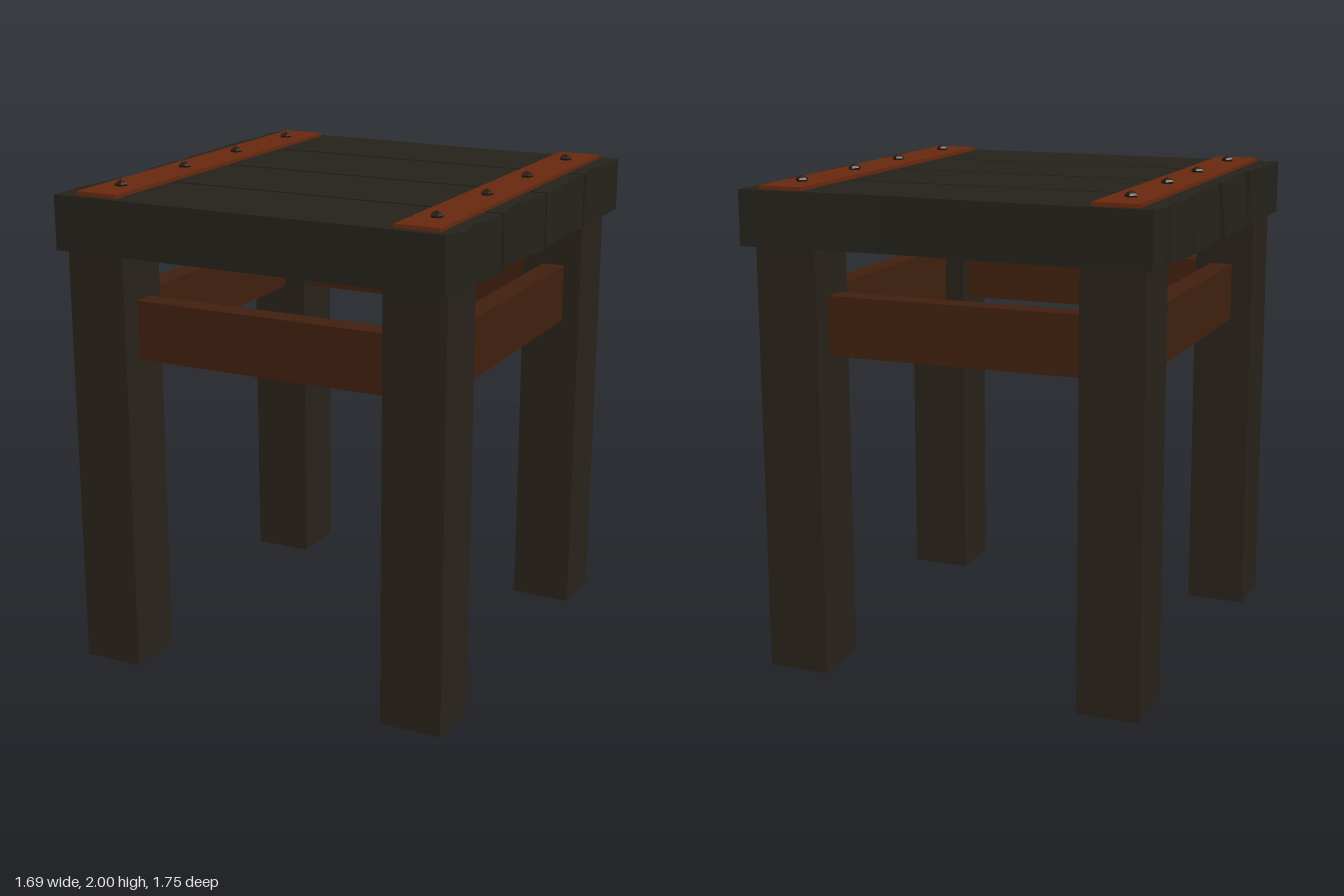
import * as THREE from 'three';

const mat = (color) => new THREE.MeshStandardMaterial({ color, flatShading: true });

export function createModel() {
  const model = new THREE.Group();
  const plankMat = mat(0x24221a);
  const legMat = mat(0x28231a);
  const railMat = mat(0x40200f);
  const strapMat = mat(0x68280f);
  const boltMat = mat(0x2a180e);

  const add = (name, geometry, material) => {
    const mesh = new THREE.Mesh(geometry, material);
    mesh.name = name;
    model.add(mesh);
    return mesh;
  };
  // box given by its limits on each axis
  const block = (name, [x0, x1], [y0, y1], [z0, z1], material) =>
    add(name, new THREE.BoxGeometry(x1 - x0, y1 - y0, z1 - z0), material)
      .position.set((x0 + x1) / 2, (y0 + y1) / 2, (z0 + z1) / 2);

  // seat planks with rough-sawn ends: outline as [x, z], plus how far the top left edge is worn in
  const planks = [
    { worn: 0, outline: [[-0.82, -0.88], [-0.845, -0.8], [-0.82, -0.67], [-0.845, -0.57], [-0.845, -0.46],
      [0.845, -0.46], [0.82, -0.57], [0.845, -0.74], [0.845, -0.88], [0.28, -0.855], [-0.28, -0.88]] },
    { worn: 0.012, outline: [[-0.845, -0.44], [-0.84, -0.33], [-0.845, -0.12], [-0.83, -0.015],
      [0.845, -0.015], [0.845, -0.22], [0.825, -0.32], [0.845, -0.44]] },
    { worn: 0.018, outline: [[-0.845, 0.005], [-0.845, 0.2], [-0.828, 0.31], [-0.828, 0.43],
      [0.845, 0.43], [0.825, 0.32], [0.82, 0.2], [0.845, 0.04], [0.845, 0.005]] },
    { worn: 0, outline: [[-0.825, 0.45], [-0.825, 0.56], [-0.845, 0.66], [-0.845, 0.872],
      [0.805, 0.872], [0.845, 0.77], [0.82, 0.66], [0.845, 0.56], [0.845, 0.45]] },
  ];
  for (const { worn, outline } of planks) {
    const shape = new THREE.Shape(outline.map(([x, z]) => new THREE.Vector2(x, -z)));
    const geometry = new THREE.ExtrudeGeometry(shape, { depth: 0.22, bevelEnabled: false });
    geometry.rotateX(-Math.PI / 2).translate(0, 1.74, 0);
    const p = geometry.attributes.position;
    for (let i = 0; i < p.count; i++) {
      if (p.getX(i) < -0.8 && p.getY(i) > 1.9) p.setX(i, p.getX(i) + worn);
    }
    geometry.computeVertexNormals();
    add('seatPlank', geometry, plankMat);
  }

  // legs, the back one on the right side standing a little further in
  const legY = [0, 1.75];
  block('frontLeg', [-0.815, -0.565], legY, [0.58, 0.835], legMat);
  block('frontLeg', [0.545, 0.8], legY, [0.58, 0.835], legMat);
  block('backLeg', [-0.785, -0.53], legY, [-0.835, -0.575], legMat);
  block('backLeg', [0.545, 0.8], legY, [-0.835, -0.575], legMat);

  // rails between the legs
  const railY = [1.3, 1.54];
  block('frontRail', [-0.62, 0.6], railY, [0.65, 0.745], railMat);
  block('backRail', [-0.6, 0.6], railY, [-0.735, -0.64], railMat);
  block('sideRail', [0.63, 0.725], railY, [-0.62, 0.62], railMat);
  block('sideRail', [-0.725, -0.63], railY, [-0.62, 0.62], railMat);

  // straps across the planks, each held by four five-sided bolts
  const boltProfile = [[0.018, 1.965], [0.027, 1.982], [0.02, 1.99], [0, 2]]
    .map(([r, y]) => new THREE.Vector2(r, y));
  for (const x of [-0.67, 0.68]) {
    block('strap', [x - 0.09, x + 0.09], [1.915, 1.975], [-0.85, 0.84], strapMat);
    for (const z of [-0.67, -0.22, 0.2, 0.67]) {
      const bolt = add('bolt', new THREE.LatheGeometry(boltProfile, 5), boltMat);
      bolt.position.set(x, 0, z);
      bolt.rotation.y = Math.PI;
    }
  }
  return model;
}
